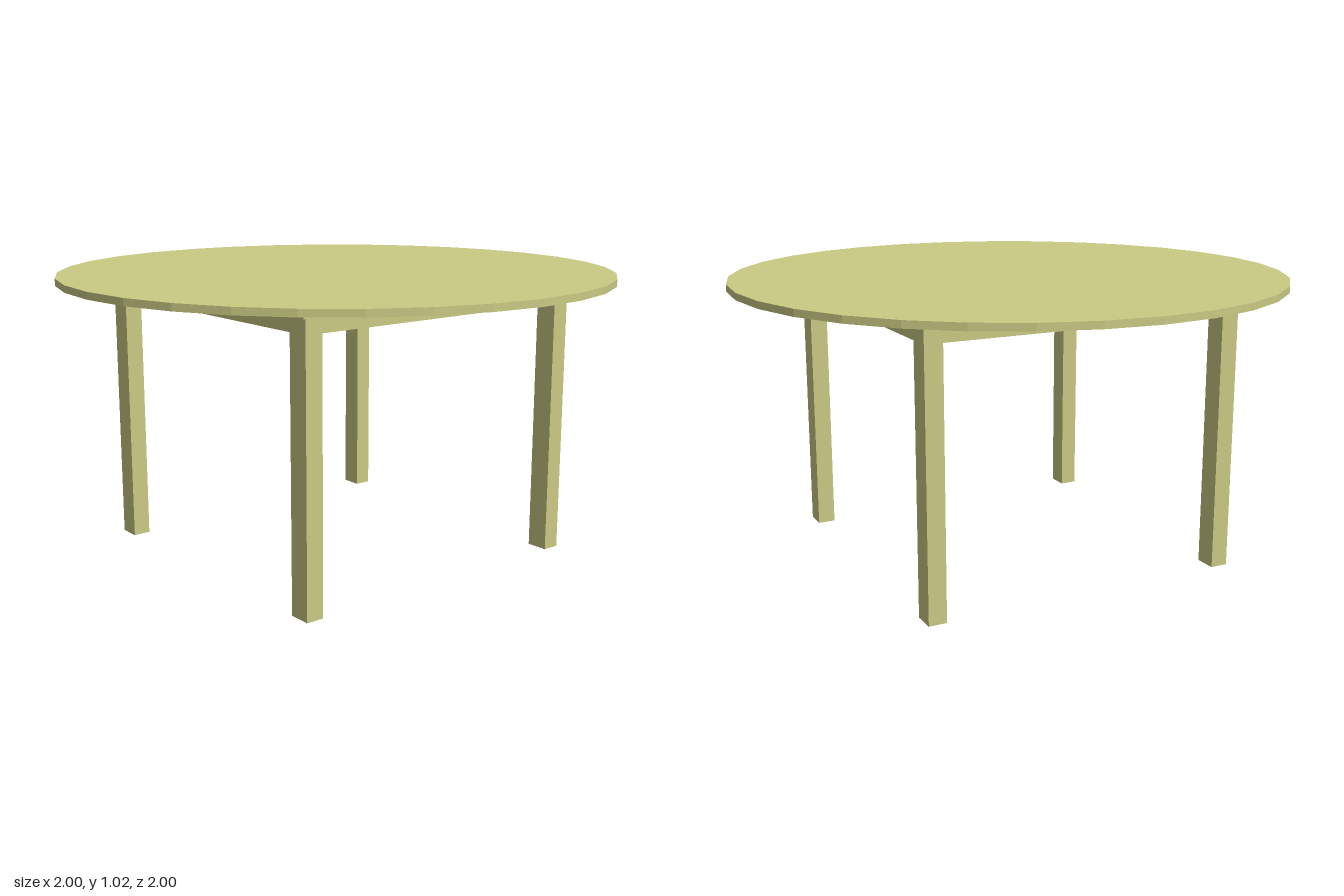
import * as THREE from 'three';

export function createModel() {
  const model = new THREE.Group();
  model.name = 'roundTable';
  const material = new THREE.MeshStandardMaterial({ color: 0xcaca84, flatShading: true });

  function add(name, geometry, x, y, z, parent = model) {
    const mesh = new THREE.Mesh(geometry, material);
    mesh.name = name;
    mesh.position.set(x, y, z);
    parent.add(mesh);
    return mesh;
  }

  // Round top and the square panel under it
  const topY = 1.0, panelY = 0.975, apronY = 0.92;
  add('tableTop', new THREE.CylinderGeometry(1, 1, 0.025, 32), 0, topY + 0.0125, 0);
  add('underPanel', new THREE.BoxGeometry(1.235, topY - panelY, 1.235), 0, (topY + panelY) / 2, 0);

  // Apron frame, flush with the outside of the legs
  const outer = 0.587, thick = 0.04;
  const apronHeight = panelY - apronY, apronMid = (panelY + apronY) / 2;
  const frame = new THREE.Group();
  frame.name = 'apronFrame';
  model.add(frame);
  for (const s of [1, -1]) {
    add(s > 0 ? 'frontApron' : 'backApron',
      new THREE.BoxGeometry(outer * 2, apronHeight, thick), 0, apronMid, s * (outer - thick / 2), frame);
    add(s > 0 ? 'leftApron' : 'rightApron',
      new THREE.BoxGeometry(thick, apronHeight, (outer - thick) * 2), s * (outer - thick / 2), apronMid, 0, frame);
  }

  // Four rectangular legs, one at each corner
  const legX = 0.08, legZ = 0.064;
  const legGeometry = new THREE.BoxGeometry(legX, apronY, legZ);
  for (const sx of [1, -1]) {
    for (const sz of [1, -1]) {
      const name = (sz > 0 ? 'front' : 'back') + (sx > 0 ? 'Left' : 'Right') + 'Leg';
      add(name, legGeometry, sx * (outer - legX / 2), apronY / 2, sz * (outer - legZ / 2));
    }
  }
  return model;
}
